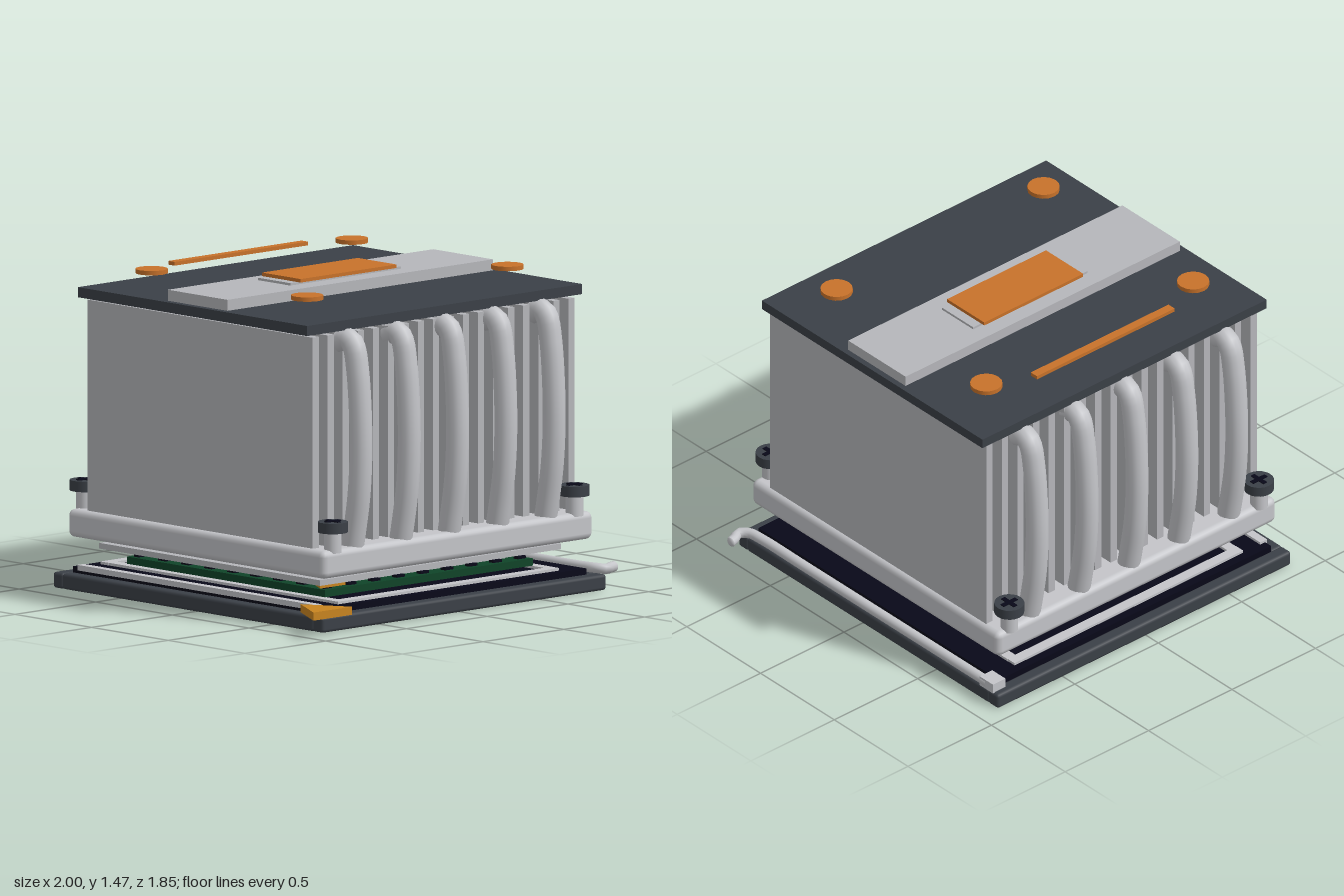
import * as THREE from 'three';
import { RoundedBoxGeometry } from 'three/addons/geometries/RoundedBoxGeometry.js';

const mat = (name, color) => new THREE.MeshStandardMaterial({ name, color });

export function createModel() {
  const M = {
    steel: mat('bright metal', 0xc4c5c9),
    fin: mat('fin aluminium', 0xb6b7bb),
    dark: mat('dark plastic', 0x3b4047),
    navy: mat('contact black', 0x080818),
    green: mat('circuit green', 0x0f4428),
    copper: mat('copper orange', 0xc8722a),
    gold: mat('gold', 0xc88420),
  };
  const root = new THREE.Group();
  const CX = 0.017, CZ = -0.043; // centre of the stack

  const add = (name, geo, m, x = 0, y = 0, z = 0, parent = root) => {
    const mesh = new THREE.Mesh(geo, m);
    mesh.name = name;
    mesh.position.set(x, y, z);
    parent.add(mesh);
    return mesh;
  };
  // Box given by its limits on each axis; r rounds the edges
  const box = (name, m, [x0, x1], [y0, y1], [z0, z1], r = 0) => {
    const s = [x1 - x0, y1 - y0, z1 - z0];
    const geo = r ? new RoundedBoxGeometry(...s, 2, r) : new THREE.BoxGeometry(...s);
    return add(name, geo, m, (x0 + x1) / 2, (y0 + y1) / 2, (z0 + z1) / 2);
  };
  // Flat triangle lying level, corners as [x, z]
  const triangle = (name, m, pts, y, h) => {
    const s = new THREE.Shape(pts.map(([x, z]) => new THREE.Vector2(x, -z)));
    const geo = new THREE.ExtrudeGeometry(s, { depth: h, bevelEnabled: false });
    return add(name, geo.rotateX(-Math.PI / 2), m, 0, y, 0);
  };
  const tube = (name, m, pts, r, n) => {
    const path = new THREE.CatmullRomCurve3(pts.map((p) => new THREE.Vector3(...p)));
    return add(name, new THREE.TubeGeometry(path, n, r, 14), m);
  };

  // Socket frame and contact bed
  box('socketFrontRail', M.dark, [-0.865, 0.895], [0, 0.073], [0.77, 0.838], 0.015);
  box('socketBackRail', M.dark, [-0.865, 0.895], [0, 0.073], [-0.925, -0.857], 0.015);
  box('socketLeftRail', M.dark, [0.827, 0.895], [0, 0.073], [-0.865, 0.778], 0.015);
  box('socketRightRail', M.dark, [-0.865, -0.797], [0, 0.073], [-0.865, 0.778], 0.015);
  box('contactBed', M.navy, [-0.8, 0.83], [0.008, 0.098], [-0.86, 0.773]);

  // Load frame around the processor
  for (const s of [-1, 1]) {
    const z = CZ + s * 0.75, x = CX + s * 0.66;
    box('loadFrameBar', M.steel, [-0.67, 0.7], [0.098, 0.11], [z - 0.025, z + 0.025]);
    box('loadFrameSide', M.steel, [x - 0.025, x + 0.025], [0.098, 0.11], [CZ - 0.73, CZ + 0.73]);
  }
  box('sideRail', M.steel, [-0.81, -0.77], [0.085, 0.11], [-0.82, 0.73]);

  // Lever with bent handle, and its hinge
  tube('lever', M.steel, [[0.875, 0.095, -0.84], [0.875, 0.095, -0.2], [0.875, 0.095, 0.4], [0.875, 0.095, 0.7],
    [0.885, 0.095, 0.775], [0.92, 0.09, 0.81], [0.955, 0.09, 0.79], [0.992, 0.09, 0.78]], 0.024, 60);
  const tip = add('leverTip', new THREE.SphereGeometry(0.024, 12, 8), M.steel, 0.985, 0.09, 0.781);
  tip.scale.x = 0.5;
  box('leverHinge', M.steel, [0.82, 0.895], [0.07, 0.118], [-0.892, -0.802]);

  // Orientation markers
  triangle('cornerMarker', M.gold, [[-1, 0.92], [-0.76, 0.92], [-0.88, 0.71]], 0.083, 0.037);
  triangle('processorMarker', M.gold, [[-0.635, 0.58], [-0.48, 0.58], [-0.56, 0.45]], 0.148, 0.016);

  // Processor board, edge components and heat spreader
  box('processorBoard', M.green, [-0.627, 0.66], [0.11, 0.143], [-0.69, 0.603]);
  for (let i = -4; i <= 4; i++) {
    for (const s of [-1, 1]) {
      const x = CX + i * 0.15, z = CZ + s * 0.605;
      box('boardComponent', M.navy, [x - 0.025, x + 0.025], [0.143, 0.155], [z - 0.015, z + 0.015]);
      const x2 = CX + s * 0.6, z2 = CZ + i * 0.15;
      if (Math.abs(i) < 4)
        box('boardComponent', M.navy, [x2 - 0.015, x2 + 0.015], [0.143, 0.155], [z2 - 0.025, z2 + 0.025]);
    }
  }
  box('spreaderBody', M.fin, [-0.54, 0.575], [0.143, 0.182], [-0.6, 0.515]);
  box('spreaderFlange', M.fin, [-0.73, 0.762], [0.182, 0.208], [-0.762, 0.678]);
  box('spreaderTop', M.fin, [-0.477, 0.51], [0.208, 0.235], [-0.533, 0.45]);

  // Cooler base and fins
  box('coolerBase', M.steel, [-0.82, 0.855], [0.232, 0.36], [-0.88, 0.797], 0.03);
  for (let i = 0; i < 18; i++) {
    const x = -0.77 + i * 0.0931;
    box('fin', M.fin, [x - 0.019, x + 0.019], [0.355, 1.32], [-0.775, 0.693]);
  }

  // Heat pipes on the front and the back
  for (let i = -2; i <= 2; i++) {
    for (const s of [-1, 1]) {
      const x = CX + i * 0.299;
      const side = [[0.30, 0.765], [0.42, 0.79], [0.6, 0.82], [0.8, 0.832], [1.0, 0.826],
        [1.16, 0.81], [1.26, 0.787], [1.29, 0.755], [1.275, 0.70]];
      tube('heatPipe', M.steel, side.map(([y, z]) => [x, y, CZ + s * z]), 0.052, 40);
    }
  }

  // Corner screws with cross slots
  for (const x of [-0.731, 0.765]) {
    for (const z of [-0.855, 0.763]) {
      const screw = new THREE.Group();
      screw.name = 'cornerScrew';
      screw.position.set(x, 0, z);
      root.add(screw);
      add('screwPost', new THREE.CylinderGeometry(0.04, 0.04, 0.1, 16), M.steel, 0, 0.395, 0, screw);
      add('screwCap', new THREE.CylinderGeometry(0.068, 0.068, 0.048, 20), M.dark, 0, 0.462, 0, screw);
      add('screwSlot', new THREE.BoxGeometry(0.085, 0.006, 0.022), M.navy, 0, 0.487, 0, screw);
      add('screwSlot', new THREE.BoxGeometry(0.022, 0.006, 0.085), M.navy, 0, 0.487, 0, screw);
    }
  }

  // Top cover with its strip and copper trim
  box('topCover', M.dark, [-0.835, 0.868], [1.334, 1.38], [-0.79, 0.705]);
  box('coverStrip', M.fin, [-0.803, 0.84], [1.38, 1.43], [-0.237, 0.152]);
  box('badgeBacking', M.fin, [-0.325, 0.36], [1.43, 1.441], [-0.152, 0.058]);
  box('badgePlate', M.copper, [-0.28, 0.313], [1.441, 1.457], [-0.174, 0.078]);
  box('accentBar', M.copper, [-0.395, 0.43], [1.448, 1.465], [-0.664, -0.622]);
  for (const x of [-0.604, 0.636])
    for (const z of [-0.553, 0.462])
      add('coverDisc', new THREE.CylinderGeometry(0.073, 0.073, 0.02, 16), M.copper, x, 1.457, z);

  return root;
}
